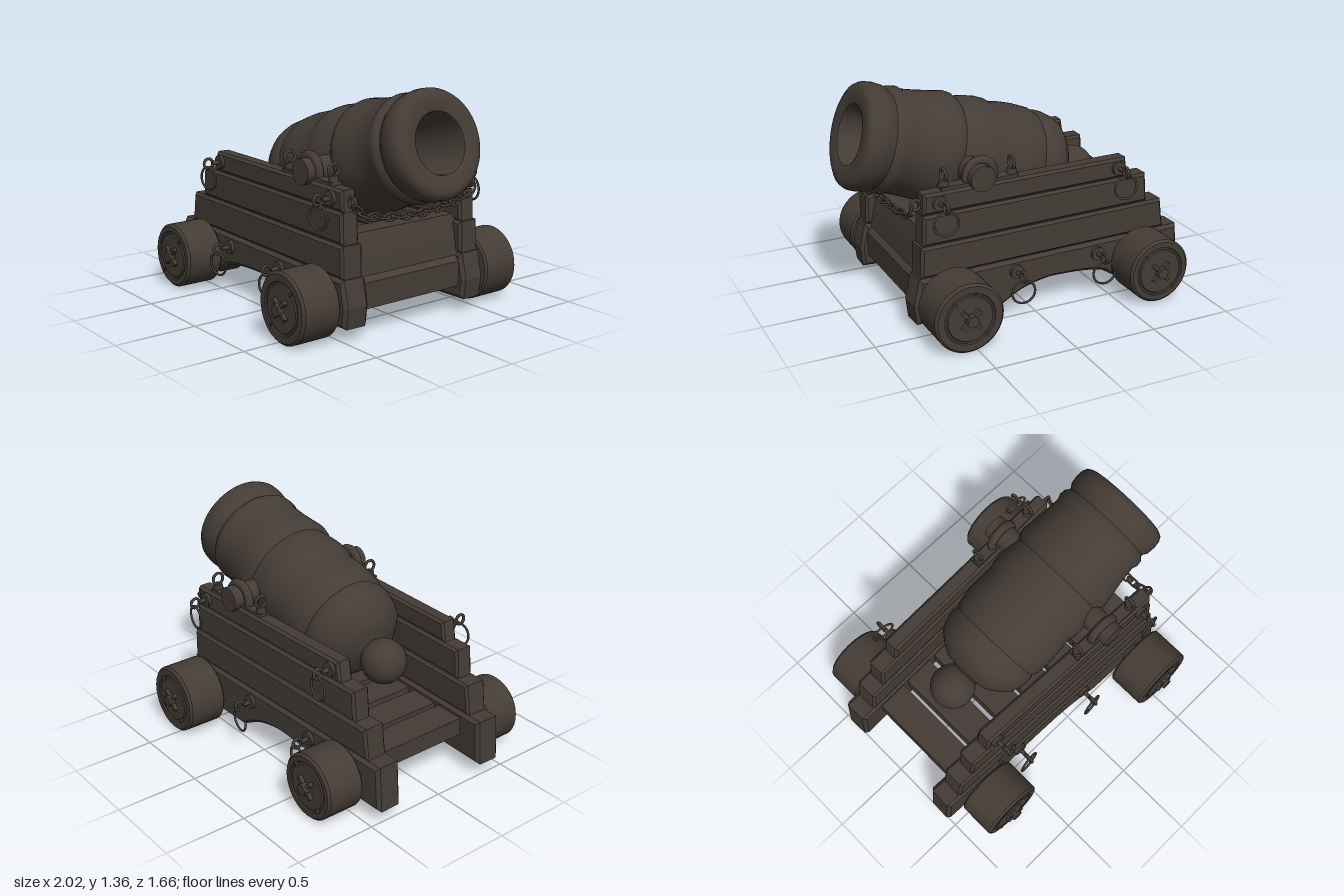
import * as THREE from 'three';
import { toCreasedNormals } from 'three/addons/utils/BufferGeometryUtils.js';

const iron = new THREE.MeshStandardMaterial({ color: 0x443d36 });
iron.name = 'darkIron';

function add(parent, name, geometry, x = 0, y = 0, z = 0) {
  const mesh = new THREE.Mesh(geometry, iron);
  mesh.name = name;
  mesh.position.set(x, y, z);
  parent.add(mesh);
  return mesh;
}

const box = (w, h, d) => new THREE.BoxGeometry(w, h, d);
const torus = (r, t, arc = Math.PI * 2) => new THREE.TorusGeometry(r, t, 8, 24, arc);

function lathe(points, segments = 48) {
  const profile = points.map(([r, y]) => new THREE.Vector2(r, y));
  return toCreasedNormals(new THREE.LatheGeometry(profile, segments), 0.6);
}

// Chamfered timber, extruded around z = 0
function timber(shape, depth, bevel = 0.015) {
  return new THREE.ExtrudeGeometry(shape, {
    depth: depth - 2 * bevel, bevelEnabled: true, bevelThickness: bevel,
    bevelSize: bevel, bevelOffset: -bevel, bevelSegments: 1, curveSegments: 10,
  }).translate(0, 0, -depth / 2 + bevel);
}

const polygon = (points) => new THREE.Shape(points.map(([x, y]) => new THREE.Vector2(x, y)));

// Bottom timber with the arch between the wheels
function lowerCheekShape() {
  const s = new THREE.Shape();
  s.moveTo(-1, 0.08);
  s.lineTo(-0.57, 0.08);
  s.lineTo(-0.46, 0.15);
  s.quadraticCurveTo(-0.36, 0.185, -0.1, 0.19);
  s.quadraticCurveTo(0.06, 0.175, 0.14, 0.13);
  s.lineTo(0.24, 0.075);
  s.lineTo(0.76, 0.08);
  s.lineTo(0.775, 0.2);
  s.lineTo(0.74, 0.355);
  s.lineTo(-0.98, 0.355);
  return s;
}

function createBarrel() {
  const barrel = new THREE.Group();
  barrel.name = 'barrel';
  const profile = [];
  // Round knob at the breech
  for (let i = 0; i <= 10; i++) {
    const a = -Math.PI / 2 + (i / 10) * 2.45;
    profile.push([Math.max(0, 0.135 * Math.cos(a)), -1.5 + 0.135 * Math.sin(a)]);
  }
  // Breech, reinforcing bands and muzzle swell, then back into the bore
  profile.push(
    [0.11, -1.385], [0.15, -1.38], [0.19, -1.36], [0.235, -1.325], [0.245, -1.315], [0.272, -1.29],
    [0.292, -1.25], [0.305, -1.2], [0.308, -1.16], [0.3, -1.13],
    [0.316, -1.09], [0.324, -1.0], [0.322, -0.92], [0.312, -0.835],
    [0.327, -0.79], [0.33, -0.74], [0.324, -0.68], [0.308, -0.595],
    [0.328, -0.56], [0.332, -0.53], [0.322, -0.47], [0.31, -0.38], [0.3, -0.265],
    [0.312, -0.235], [0.308, -0.2], [0.288, -0.175], [0.29, -0.165],
    [0.306, -0.14], [0.312, -0.09], [0.308, -0.045], [0.295, -0.02], [0.272, -0.007], [0.25, -0.005],
    [0.19, -0.005], [0.175, -0.012], [0.168, -0.03], [0.165, -0.5], [0.12, -0.58], [0, -0.61]);
  const tube = add(barrel, 'barrelTube', lathe(profile, 64), 0.935, 1.083, 0);
  tube.rotation.z = -THREE.MathUtils.degToRad(73.5);
  const trunnion = new THREE.CylinderGeometry(0.075, 0.075, 1, 32).rotateX(Math.PI / 2);
  add(barrel, 'trunnion', trunnion, 0.33, 0.885, 0);
  return barrel;
}

// Bolt on the cheek's outer face with an eye and a hanging ring
function createRingBolt(side, x, y, z) {
  const bolt = new THREE.Group();
  bolt.name = 'ringBolt';
  bolt.position.set(x, y, z * side);
  add(bolt, 'boltFlange', new THREE.CylinderGeometry(0.042, 0.042, 0.03, 20).rotateX(Math.PI / 2));
  add(bolt, 'boltShank', new THREE.CylinderGeometry(0.014, 0.014, 0.06, 10).rotateX(Math.PI / 2), 0, 0, side * 0.03);
  add(bolt, 'boltEye', torus(0.03, 0.009).rotateY(Math.PI / 2), 0, 0, side * 0.085);
  add(bolt, 'hangingRing', torus(0.07, 0.007).rotateY(0.15 * side), 0, -0.093, side * 0.085);
  return bolt;
}

function createCheek(side) {
  const cheek = new THREE.Group();
  cheek.name = side > 0 ? 'frontCheek' : 'backCheek';
  cheek.rotation.y = -0.032 * side;
  const z = 0.41 * side;
  // Four stepped timbers
  add(cheek, 'lowerTimber', timber(lowerCheekShape(), 0.165, 0.02), 0, 0, z);
  const tiers = [
    [-0.885, -0.86, 0.73, 0.355, 0.54, 0.145],
    [-0.765, -0.75, 0.71, 0.54, 0.72, 0.12],
    [-0.63, -0.61, 0.7, 0.72, 0.842, 0.1],
  ];
  for (const [x0, x1, x2, y0, y1, d] of tiers) {
    const shape = polygon([[x0, y0], [x2, y0], [x2 - 0.005, y1], [x1, y1]]);
    add(cheek, 'upperTimber', timber(shape, d), 0, 0, z);
  }
  // Strap over the trunnion with its two eye pins
  add(cheek, 'strapPlate', box(0.48, 0.022, 0.07), 0.34, 0.85, z);
  add(cheek, 'trunnionStrap', torus(0.085, 0.028), 0.33, 0.885, z);
  for (const x of [0.13, 0.555]) {
    add(cheek, 'strapPin', new THREE.CylinderGeometry(0.026, 0.03, 0.04, 12), x, 0.875, z);
    add(cheek, 'strapPinEye', torus(0.035, 0.009).rotateY(Math.PI / 2), x, 0.925, z);
  }
  // Ring bolts
  for (const x of [-0.555, 0.605]) cheek.add(createRingBolt(side, x, 0.785, 0.465));
  for (const x of [-0.405, 0.14]) cheek.add(createRingBolt(side, x, 0.283, 0.497));
  // Eye that holds the chain
  add(cheek, 'chainEye', torus(0.03, 0.009), 0.725, 0.775, z);
  return cheek;
}

function createWheel(side, x, y, z, r, width) {
  const wheel = new THREE.Group();
  wheel.name = 'wheel';
  wheel.position.set(x, y, z * side);
  const h = width / 2;
  const geometry = lathe([
    [0, -h], [r - 0.012, -h], [r, -h + 0.012], [r, h - 0.014], [r - 0.014, h],
    [0.153, h], [0.148, h - 0.008], [0.138, h - 0.008], [0.133, h], [0, h],
  ]);
  add(wheel, 'wheelDrum', geometry.rotateX(side * Math.PI / 2));
  const axle = new THREE.CylinderGeometry(0.07, 0.07, 0.14, 20).rotateX(Math.PI / 2);
  add(wheel, 'axleStub', axle, 0, 0, -side * (h + 0.06));
  // Cross-shaped hub cap and two small pegs
  const hub = new THREE.Group();
  hub.name = 'hubCap';
  hub.position.z = side * h;
  hub.rotation.z = 0.3;
  for (let i = 0; i < 4; i++) {
    const a = i * Math.PI / 2 + 0.5;
    const arm = add(hub, 'hubArm', box(0.055, 0.024, 0.03), 0.045 * Math.cos(a), 0.045 * Math.sin(a), side * 0.008);
    arm.rotation.z = a;
  }
  add(hub, 'hubNut', new THREE.CylinderGeometry(0.036, 0.036, 0.045, 6).rotateX(Math.PI / 2), 0, 0, side * 0.018);
  for (const a of [0.55, 0.55 + Math.PI]) {
    add(hub, 'wheelPeg', box(0.03, 0.012, 0.012), 0.142 * Math.cos(a), 0.142 * Math.sin(a), side * 0.002).rotation.z = a;
  }
  wheel.add(hub);
  return wheel;
}

// Cross timbers between the cheeks
function createBed() {
  const bed = new THREE.Group();
  bed.name = 'bed';
  for (const x of [-0.75, -0.525, -0.29, -0.06, 0.17, 0.4]) {
    add(bed, 'bedSlat', timber(polygon([
      [x - 0.095, 0.21], [x + 0.095, 0.21], [x + 0.095, 0.32], [x - 0.095, 0.32]]), 0.72, 0.01));
  }
  add(bed, 'frontBeam', timber(polygon([[0.54, 0.16], [0.72, 0.16], [0.72, 0.31], [0.69, 0.34], [0.54, 0.34]]), 0.76, 0.01));
  add(bed, 'middleBeam', timber(polygon([[0.5, 0.34], [0.69, 0.34], [0.67, 0.455], [0.5, 0.455]]), 0.78, 0.01));
  add(bed, 'upperBeam', timber(polygon([[0.5, 0.455], [0.67, 0.455], [0.64, 0.575], [0.51, 0.575]]), 0.78, 0.01));
  return bed;
}

// Chain sagging between the front ends of the cheeks
function createChain() {
  const chain = new THREE.Group();
  chain.name = 'chain';
  const curve = new THREE.CatmullRomCurve3([
    [0.43, 0.755], [0.38, 0.705], [0.26, 0.675], [0, 0.652], [-0.26, 0.675], [-0.38, 0.705], [-0.43, 0.755],
  ].map(([z, y]) => new THREE.Vector3(0.735, y, z)));
  const count = 15;
  const link = torus(0.026, 0.007).scale(1.7, 1, 1);
  const xAxis = new THREE.Vector3(1, 0, 0);
  for (let i = 0; i < count; i++) {
    const u = (i + 0.5) / count;
    const mesh = add(chain, 'chainLink', link);
    mesh.position.copy(curve.getPointAt(u));
    mesh.quaternion.setFromUnitVectors(xAxis, curve.getTangentAt(u));
    mesh.rotateX(i % 2 ? Math.PI / 2 : 0.25);
  }
  return chain;
}

export function createModel() {
  const model = new THREE.Group();
  model.name = 'cannon';
  model.add(createBarrel(), createBed(), createChain());
  for (const side of [1, -1]) {
    model.add(createCheek(side));
    model.add(createWheel(side, 0.55, 0.21, 0.667, 0.207, 0.25));
    model.add(createWheel(side, -0.712, 0.203, 0.603, 0.197, 0.24));
  }
  return model;
}
